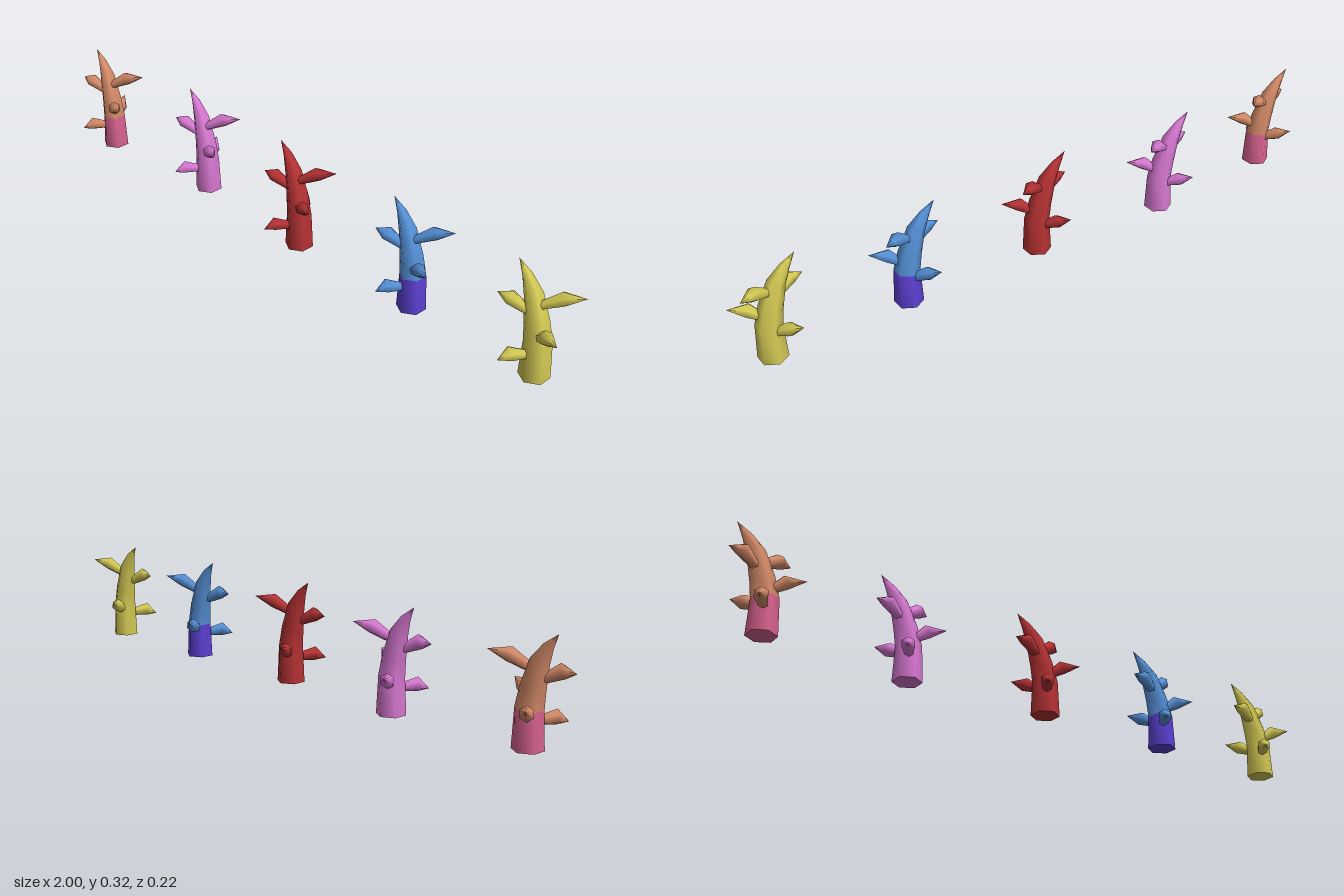
import * as THREE from 'three';

const SIDES = 6;

function material(name, color) {
  const m = new THREE.MeshStandardMaterial({ color });
  m.name = name;
  return m;
}

// Hexagonal tube through [x, y, z, radius] stations; the last one is a point.
// The first `split` segments (and the flat base) form group 0, the rest group 1.
function loft(stations, ref, split) {
  const centres = stations.map(([x, y, z]) => new THREE.Vector3(x, y, z));
  const last = stations.length - 1;
  const pos = [];
  const index = [];
  centres.forEach((c, i) => {
    const t = centres[Math.min(i + 1, last)].clone().sub(centres[Math.max(i - 1, 0)]).normalize();
    const u = ref.clone().addScaledVector(t, -ref.dot(t)).normalize();
    const v = t.clone().cross(u);
    for (let j = 0; j < SIDES; j++) {
      const a = (j / SIDES) * Math.PI * 2;
      const p = c.clone()
        .addScaledVector(u, Math.cos(a) * stations[i][3])
        .addScaledVector(v, Math.sin(a) * stations[i][3]);
      pos.push(p.x, p.y, p.z);
    }
  });
  // flat base with its own corners
  const base = pos.length / 3;
  pos.push(...pos.slice(0, SIDES * 3));
  for (let j = 1; j < SIDES - 1; j++) index.push(base, base + j + 1, base + j);
  let splitAt = 0;
  for (let i = 0; i < last; i++) {
    if (i === split) splitAt = index.length;
    for (let j = 0; j < SIDES; j++) {
      const k = (j + 1) % SIDES;
      const a = i * SIDES + j, b = i * SIDES + k;
      const c = b + SIDES, d = a + SIDES;
      index.push(a, b, d);
      if (i < last - 1) index.push(b, c, d);
    }
  }
  const g = new THREE.BufferGeometry();
  g.setAttribute('position', new THREE.Float32BufferAttribute(pos, 3));
  g.setIndex(index);
  g.computeVertexNormals();
  if (split) {
    g.addGroup(0, splitAt, 0);
    g.addGroup(splitAt, index.length - splitAt, 1);
  }
  return g;
}

// Tapering trunk that leans towards -x
const TRUNK = [
  [0, 0, 0, 0.043],
  [0, 0.108, 0, 0.038],
  [-0.011, 0.165, -0.003, 0.034],
  [-0.033, 0.238, -0.008, 0.026],
  [-0.061, 0.282, -0.012, 0.014],
  [-0.092, 0.317, -0.014, 0],
];

// Buds: start, widest point and tip
const BUDS = {
  upperLeftBud: [[-0.02, 0.207, 0], [0.043, 0.247, -0.033], [0.092, 0.257, -0.062]],
  middleLeftBud: [[0, 0.125, 0.005], [0.043, 0.157, 0.029], [0.092, 0.165, 0.052]],
  upperRightBud: [[-0.02, 0.182, 0], [-0.083, 0.217, 0.022], [-0.123, 0.216, 0.024]],
  lowerFrontBud: [[-0.005, 0.073, 0.015], [-0.038, 0.083, 0.064], [-0.055, 0.068, 0.093]],
  lowerBackBud: [[-0.005, 0.085, -0.01], [-0.035, 0.112, -0.055], [-0.06, 0.128, -0.092]],
};

export function createModel() {
  const model = new THREE.Group();
  model.name = 'coralRow';

  const orange = material('orange', 0xd48a68);
  const pink = material('pink', 0xd8628f);
  const orchid = material('orchid', 0xd878d2);
  const red = material('red', 0xb63234);
  const blue = material('blue', 0x5590d6);
  const indigo = material('indigo', 0x5c40d2);
  const yellow = material('yellow', 0xd4ca54);

  const trunkGeometry = loft(TRUNK, new THREE.Vector3(0, 0, 1), 1);
  const budGeometries = Object.entries(BUDS).map(([name, [a, b, c]]) => [
    name,
    loft([[...a, 0.01], [...b, 0.021], [...c, 0]], new THREE.Vector3(0, 1, 0), 0),
  ]);

  // name, x, z, foot colour, main colour
  const corals = [
    ['orangeCoral', -0.877, 0.016, pink, orange],
    ['orchidCoral', -0.425, -0.014, orchid, orchid],
    ['redCoral', 0.027, 0.016, red, red],
    ['blueCoral', 0.478, 0.016, indigo, blue],
    ['yellowCoral', 0.905, 0.016, yellow, yellow],
  ];
  for (const [name, x, z, foot, main] of corals) {
    const coral = new THREE.Group();
    coral.name = name;
    coral.position.set(x, 0, z);
    const trunk = new THREE.Mesh(trunkGeometry, [foot, main]);
    trunk.name = 'trunk';
    coral.add(trunk);
    for (const [budName, geometry] of budGeometries) {
      const bud = new THREE.Mesh(geometry, main);
      bud.name = budName;
      coral.add(bud);
    }
    model.add(coral);
  }
  return model;
}
